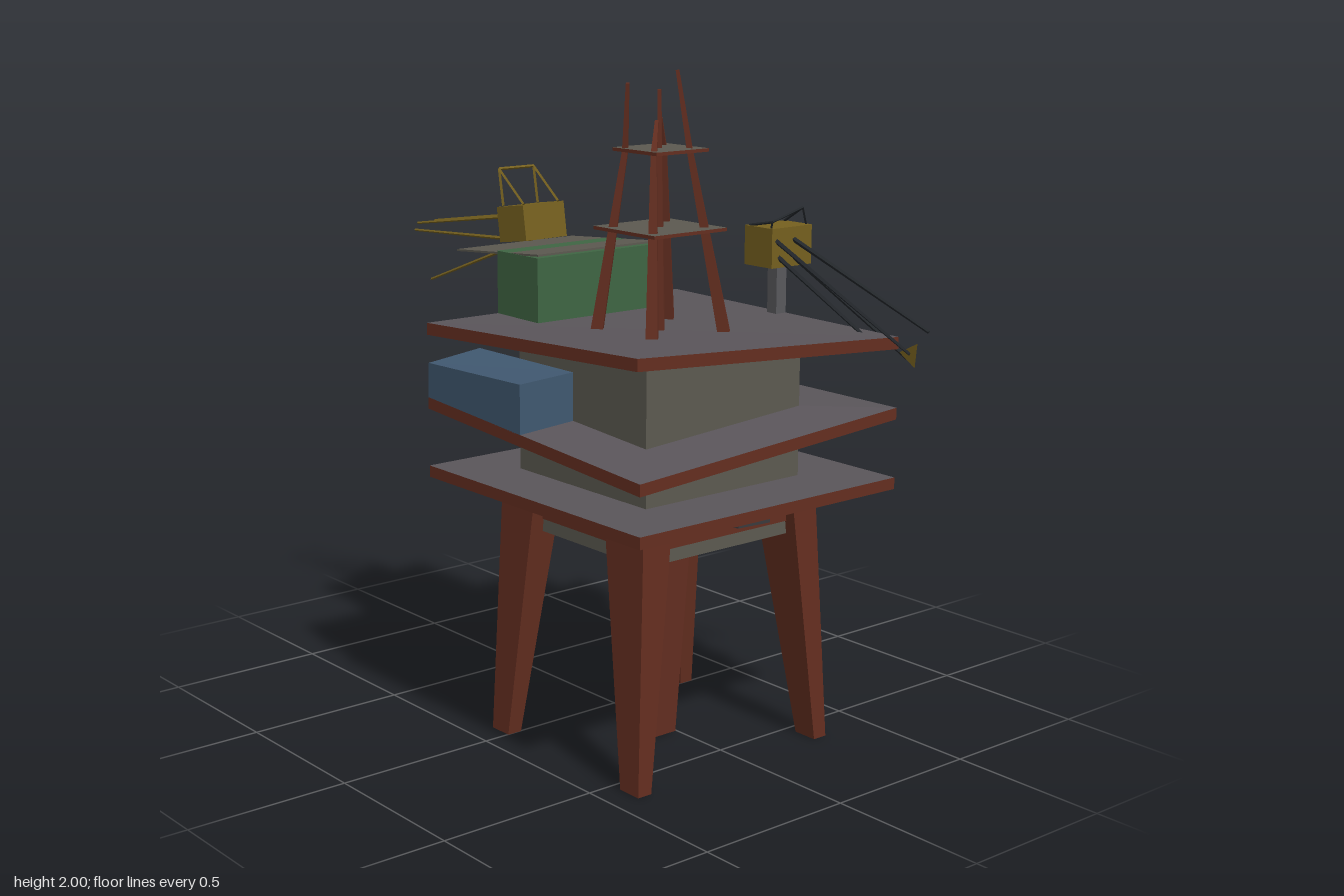
import * as THREE from 'three';

const mat = (color, extra = {}) => new THREE.MeshStandardMaterial({ color, flatShading: true, ...extra });
const RED = mat(0x642e20), DECK = mat(0x5a555a), DARK = mat(0x3a3a3c), WALL = mat(0x5c5950),
  GREEN = mat(0x3f6543), BLUE = mat(0x405870), GOLD = mat(0x75601f), STEEL = mat(0x58585c),
  CABLE = mat(0x22262a), FLAT = mat(0x75601f, { side: THREE.DoubleSide });
const DECK_FACES = [RED, RED, DECK, DARK, RED, RED];
const CX = 0.27, CZ = 0.05;
const V = (a) => new THREE.Vector3(...a);

export function createModel() {
  const root = new THREE.Group();

  const add = (name, geometry, material, parent = root) => {
    const m = new THREE.Mesh(geometry, material);
    m.name = name;
    parent.add(m);
    return m;
  };
  const group = (name) => {
    const g = new THREE.Group();
    g.name = name;
    root.add(g);
    return g;
  };
  // Box given by its limits
  const block = (name, [x0, x1], [y0, y1], [z0, z1], material, parent) => {
    const m = add(name, new THREE.BoxGeometry(x1 - x0, y1 - y0, z1 - z0), material, parent);
    m.position.set((x0 + x1) / 2, (y0 + y1) / 2, (z0 + z1) / 2);
    return m;
  };
  // Six-sided solid; corners in order back-left, back-right, front-left, front-right (-x first)
  const hexa = (name, bottom, top, material, parent) => {
    const g = new THREE.BoxGeometry(2, 2, 2);
    const p = g.attributes.position;
    for (let i = 0; i < p.count; i++) {
      const k = (p.getX(i) > 0 ? 1 : 0) + (p.getZ(i) > 0 ? 2 : 0);
      p.setXYZ(i, ...(p.getY(i) > 0 ? top : bottom)[k]);
    }
    g.computeVertexNormals();
    return add(name, g, material, parent);
  };
  const rect = ([x0, x1], [z0, z1], y) => [[x0, y, z0], [x1, y, z0], [x0, y, z1], [x1, y, z1]];
  const slab = (name, top, t, material, parent) =>
    hexa(name, top.map(([x, y, z]) => [x, y - t, z]), top, material, parent);
  // Straight square bar, optionally tapered
  const bar = (name, a, b, r0, r1, material, parent) => {
    const p = V(a), d = V(b).sub(p);
    const m = add(name, new THREE.CylinderGeometry(r1, r0, d.length(), 4), material, parent);
    m.position.copy(p).addScaledVector(d, 0.5);
    m.quaternion.setFromUnitVectors(new THREE.Vector3(0, 1, 0), d.normalize());
    return m;
  };

  // Tapered corner legs, leaning inward, and the central leg
  const legs = group('legs');
  for (const [bx, tx] of [[[-0.077, 0.002], [-0.055, 0.105]], [[0.537, 0.617], [0.425, 0.598]]])
    for (const [bz, tz] of [[[-0.323, -0.275], [-0.275, -0.18]], [[0.37, 0.418], [0.28, 0.385]]])
      hexa('cornerLeg', rect(bx, bz, 0), rect(tx, tz, 0.79), RED, legs);
  hexa('centreLeg', rect([0.25, 0.3], [0.005, 0.09], 0), rect([0.22, 0.328], [-0.03, 0.13], 0.66), RED, legs);

  // Central housing with a band beneath the lowest deck
  block('core', [-0.02, 0.56], [0.65, 1.22], [-0.24, 0.345], WALL);
  block('coreBand', [-0.025, 0.565], [0.69, 0.72], [-0.245, 0.35], RED);

  // Three decks, the upper two with a bent front corner
  const [L, R, B, F] = [-0.22, 0.76, -0.44, 0.535];
  slab('lowerDeck', rect([L, R], [B, F], 0.82), 0.035, DECK_FACES);
  slab('middleDeck', [[L, 1.03, B], [R, 1.03, B], [L, 1.03, F], [R, 0.965, F]], 0.035, DECK_FACES);
  slab('upperDeck', [[L, 1.25, B], [R, 1.24, B], [L, 1.255, F], [0.66, 1.277, 0.46]], 0.036, DECK_FACES);
  slab('brokenPanel', [[0.6, 0.787, 0.05], [0.76, 0.787, 0.06], [0.62, 0.775, 0.18], [0.75, 0.787, 0.17]], 0.012, DARK);

  // Cabins
  hexa('blueCabin', rect([L, 0.235], [0.345, F], 1.0),
    [[L, 1.155, 0.345], [0.235, 1.155, 0.345], [-0.215, 1.135, F], [0.235, 1.145, F]], BLUE);
  block('greenCabin', [L, -0.02], [1.24, 1.445], [-0.175, 0.275], GREEN);
  slab('landingPlate', [[-0.435, 1.424, -0.18], [-0.02, 1.456, -0.18], [-0.435, 1.424, 0.273], [-0.02, 1.456, 0.273]], 0.006, WALL);

  // Drilling tower: leaning legs, centre pole and two platforms
  const tower = group('tower');
  const towerLegs = [
    [[0.145, 1.24, -0.09], [0.215, 1.77, -0.01], [0.235, 1.86, 0.02]],
    [[0.395, 1.24, -0.09], [0.33, 1.77, -0.01], [0.302, 2.0, 0.015]],
    [[0.145, 1.24, 0.185], [0.208, 1.77, 0.13], [0.237, 1.965, 0.145]],
    [[0.395, 1.24, 0.185], [0.335, 1.77, 0.13], [0.3, 1.86, 0.09]],
  ];
  for (const [a, b, c] of towerLegs) {
    bar('towerLeg', a, b, 0.025, 0.012, RED, tower);
    bar('towerLegTip', b, c, 0.012, 0.007, RED, tower);
  }
  bar('towerPole', [CX, 1.24, CZ], [0.265, 1.945, CZ], 0.02, 0.007, RED, tower);
  const platformFaces = [RED, RED, WALL, DARK, RED, RED];
  for (const [h, y] of [[0.137, 1.546], [0.098, 1.774]])
    block('towerPlatform', [CX - h, CX + h], [y - 0.005, y + 0.005], [CZ - h, CZ + h], platformFaces, tower);

  // Crane on the landing plate, tilted
  const sideCrane = group('sideCrane');
  const cab = add('sideCraneCab', new THREE.BoxGeometry(0.128, 0.11, 0.165), GOLD, sideCrane);
  cab.position.set(-0.344, 1.5, 0.05);
  cab.rotation.set(0, 0.05, 0.14);
  for (const z of [-0.012, 0.122]) {
    bar('craneStay', [-0.29, 1.565, z], [-0.415, 1.663, z], 0.005, 0.005, GOLD, sideCrane);
    bar('craneStrut', [-0.395, 1.55, z], [-0.415, 1.663, z], 0.005, 0.005, GOLD, sideCrane);
  }
  bar('craneCrossbar', [-0.415, 1.663, -0.012], [-0.415, 1.663, 0.122], 0.005, 0.005, GOLD, sideCrane);
  const sideRods = [
    [[-0.4, 1.515, -0.015], [-0.87, 1.448, 0.055]], [[-0.4, 1.44, -0.01], [-0.86, 1.255, 0.08]],
    [[-0.4, 1.445, 0.105], [-0.89, 1.42, 0.12]], [[-0.4, 1.515, 0.11], [-0.8, 1.457, 0.17]],
  ];
  for (const [a, b] of sideRods) bar('craneRod', a, b, 0.006, 0.004, GOLD, sideCrane);

  // Crane on the tall post at the back
  const backCrane = group('backCrane');
  block('cranePost', [0.25, 0.29], [0.79, 1.4], [-0.44, -0.4], STEEL, backCrane);
  block('backCraneCab', [0.21, 0.33], [1.395, 1.515], [-0.505, -0.34], GOLD, backCrane);
  const tips = [[0.325, 1.535, -0.345], [0.33, 1.57, -0.465]];
  [-0.35, -0.495].forEach((z, i) => {
    bar('craneStay', [0.22, 1.515, z], tips[i], 0.004, 0.004, CABLE, backCrane);
    bar('craneStrut', [0.315, 1.515, z], tips[i], 0.004, 0.004, CABLE, backCrane);
  });
  bar('craneCrossbar', tips[0], tips[1], 0.004, 0.004, CABLE, backCrane);
  const backRods = [
    [[0.32, 1.48, -0.43], [0.785, 1.245, -0.54]], [[0.32, 1.43, -0.43], [0.72, 1.16, -0.52]],
    [[0.32, 1.48, -0.36], [0.86, 1.212, -0.38]], [[0.32, 1.43, -0.37], [0.71, 1.2, -0.41]],
  ];
  for (const [a, b] of backRods) bar('craneRod', a, b, 0.008, 0.005, CABLE, backCrane);

  // Flat hook plate at the end of the boom
  const hook = new THREE.Shape([[0.82, 1.212], [0.88, 1.175], [0.888, 1.247]].map((p) => new THREE.Vector2(...p)));
  add('hookPlate', new THREE.ShapeGeometry(hook), FLAT, backCrane).position.z = -0.38;

  return root;
}
